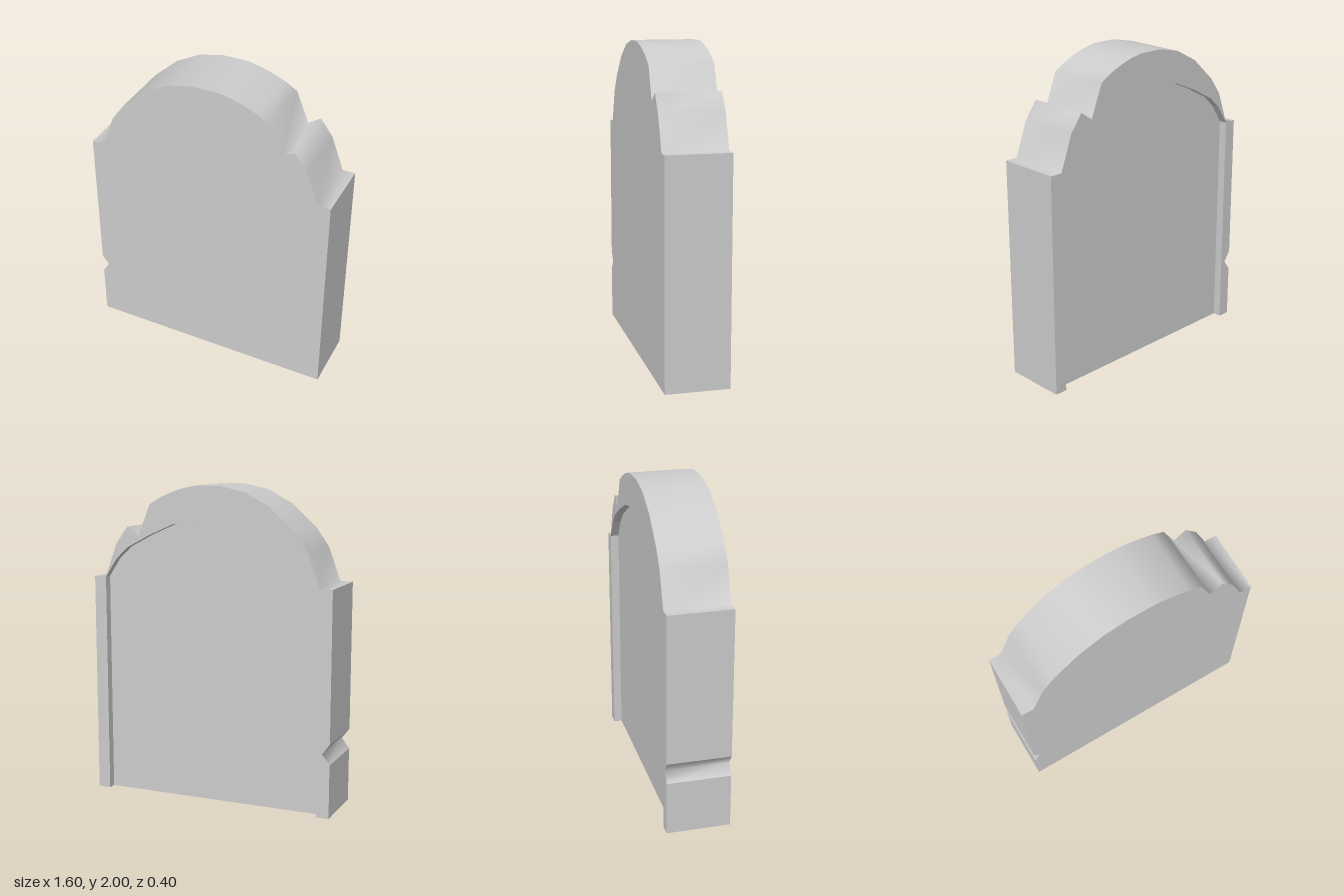
import * as THREE from 'three';

const FRONT = 0.2, BACK = -0.2, FLOOR = -0.147;
const SHOULDER = 1.41;

// weathered outer outlines, running clockwise as seen from the front
const crown = [
  [-0.72, SHOULDER], [-0.64, 1.625], [-0.56, 1.735], [-0.4, 1.88], [-0.24, 1.965], [-0.08, 2],
  [0.08, 2], [0.16, 1.985], [0.24, 1.96], [0.32, 1.927], [0.4, 1.88],
  [0.48, 1.68], [0.56, 1.735], [0.64, 1.625], [0.72, SHOULDER],
];
const chip = [[-0.8, 0.34], [-0.752, 0.405], [-0.8, 0.47]];
const leftEdge = [[-0.8, 0], ...chip, [-0.8, SHOULDER]];

// arch of the sunken back panel, from +x to -x
const halfArch = [[0.72, SHOULDER], [0.64, 1.53], [0.56, 1.605], [0.4, 1.69], [0.24, 1.76], [0.08, 1.79]];
const mirrored = halfArch.map(([x, y]) => [-x, y]).reverse();
const arch = [...halfArch, ...mirrored];

export function createModel() {
  const group = new THREE.Group();
  const material = new THREE.MeshStandardMaterial({ color: 0xcccccc });

  const add = (name, geometry) => {
    const mesh = new THREE.Mesh(geometry, material);
    mesh.name = name;
    group.add(mesh);
  };

  // wall swept along z below a polyline, smooth or faceted
  const wall = (name, points, zFront, zBack, smooth = false) => {
    const positions = [], index = [];
    points.forEach(([x, y], i) => {
      positions.push(x, y, zFront, x, y, zBack);
      if (i) {
        const a = 2 * i - 2;
        index.push(a, a + 2, a + 1, a + 1, a + 2, a + 3);
      }
    });
    let geometry = new THREE.BufferGeometry();
    geometry.setAttribute('position', new THREE.Float32BufferAttribute(positions, 3));
    geometry.setIndex(index);
    if (!smooth) geometry = geometry.toNonIndexed();
    geometry.computeVertexNormals();
    add(name, geometry);
  };

  // flat polygon facing the front or the back
  const face = (name, points, z, toBack = false) => {
    const s = toBack ? -1 : 1;
    const shape = new THREE.Shape(points.map(([x, y]) => new THREE.Vector2(s * x, y)));
    const geometry = new THREE.ShapeGeometry(shape);
    if (toBack) geometry.rotateY(Math.PI);
    geometry.translate(0, 0, z);
    add(name, geometry);
  };

  // front
  face('frontFace', [...leftEdge, ...crown, [0.8, SHOULDER], [0.8, 0]], FRONT);

  // outer edge
  wall('crownEdge', [[-0.8, SHOULDER], ...crown, [0.8, SHOULDER]], FRONT, BACK, true);
  wall('leftSide', [[0.8, SHOULDER], [0.8, 0]], FRONT, BACK);
  wall('rightSideLower', [[-0.8, 0], chip[0]], FRONT, BACK);
  wall('sideChip', chip, FRONT, BACK, true);
  wall('rightSideUpper', [chip[2], [-0.8, SHOULDER]], FRONT, BACK);

  // underside, stepped where the sunken panel runs out
  wall('underside', [[0.8, 0], [-0.8, 0]], FRONT, FLOOR);
  wall('leftRimUnderside', [[0.8, 0], [0.72, 0]], FLOOR, BACK);
  wall('rightRimUnderside', [[-0.72, 0], [-0.8, 0]], FLOOR, BACK);

  // raised rim on the back
  face('leftRim', [[0.72, 0], [0.72, SHOULDER], [0.8, SHOULDER], [0.8, 0]], BACK, true);
  face('rightRim', [...leftEdge, [-0.72, SHOULDER], [-0.72, 0]], BACK, true);
  face('archRim', [...crown, ...arch.slice(1, -1)], BACK, true);

  // sunken back panel and its walls
  const panel = [[0.72, 0], ...arch, [-0.72, 0]];
  face('backPanel', panel, FLOOR, true);
  wall('panelWalls', panel, FLOOR, BACK);

  return group;
}
